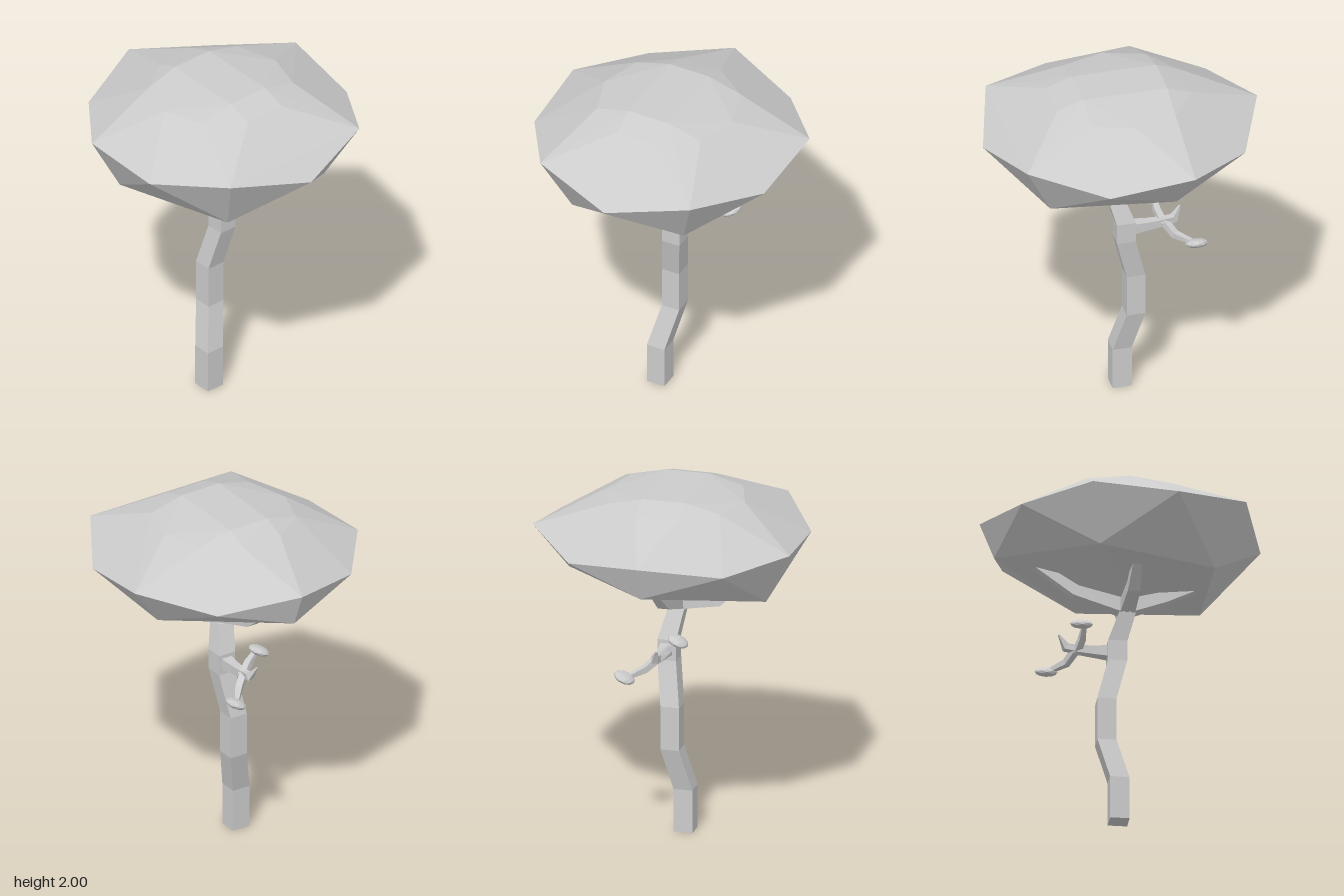
import * as THREE from 'three';
import { ConvexGeometry } from 'three/addons/geometries/ConvexGeometry.js';

const material = new THREE.MeshStandardMaterial({ color: 0xcccccc, flatShading: true });
const V = (p) => new THREE.Vector3(...p);

function add(group, geometry, name) {
  const mesh = new THREE.Mesh(geometry, material);
  mesh.name = name;
  group.add(mesh);
  return mesh;
}

// Square limb through sections [x, y, z, halfWidth]; a fixed tangent keeps sections parallel
function limb(sections, fixedTangent) {
  const pts = sections.map((s) => V(s.slice(0, 3)));
  const rings = sections.map((s, i) => {
    const t = fixedTangent ? fixedTangent.clone()
      : pts[Math.min(i + 1, pts.length - 1)].clone().sub(pts[Math.max(i - 1, 0)]).normalize();
    const side = fixedTangent ? V([1, 0, 0]) : t.clone().cross(V([0, 1, 0])).normalize();
    const up = t.clone().cross(side);
    return [[1, 1], [-1, 1], [-1, -1], [1, -1]].map(([a, b]) =>
      pts[i].clone().addScaledVector(side, a * s[3]).addScaledVector(up, b * s[3]));
  });
  const out = [];
  const quad = (a, b, c, d) => [a, b, c, a, c, d].forEach((p) => out.push(p));
  for (let i = 0; i + 1 < rings.length; i++) {
    for (let k = 0; k < 4; k++) {
      const n = (k + 1) % 4;
      quad(rings[i][k], rings[i][n], rings[i + 1][n], rings[i + 1][k]);
    }
  }
  quad(...rings[0].slice().reverse());
  quad(...rings[rings.length - 1]);
  const geometry = new THREE.BufferGeometry().setFromPoints(out);
  geometry.computeVertexNormals();
  return geometry;
}

export function createModel() {
  const tree = new THREE.Group();
  tree.name = 'tree';

  // Crooked square trunk
  add(tree, limb([
    [-0.018, 0, 0.075, 0.054], [-0.018, 0.25, 0.075, 0.054],
    [-0.082, 0.5, 0.017, 0.053], [-0.082, 0.75, 0.017, 0.053],
    [-0.018, 1.0, -0.018, 0.053], [-0.018, 1.12, -0.018, 0.053],
    [0.033, 1.28, 0.017, 0.046],
  ], V([0, 1, 0])), 'trunk');

  // Four boughs spreading under the crown
  const boughs = {
    rightBough: [[0.03, 1.32, 0.017, 0.042], [-0.25, 1.405, 0.017, 0.032], [-0.47, 1.56, 0.017, 0.022]],
    leftBough: [[0.03, 1.32, 0.017, 0.042], [0.24, 1.39, 0.017, 0.032], [0.42, 1.47, 0.017, 0.022]],
    frontBough: [[0.033, 1.32, 0.0, 0.042], [0.045, 1.35, 0.25, 0.035], [0.05, 1.45, 0.36, 0.025]],
    backBough: [[0.033, 1.32, 0.03, 0.042], [0.033, 1.385, -0.19, 0.032], [0.033, 1.48, -0.35, 0.022]],
  };
  for (const name in boughs) add(tree, limb(boughs[name]), name);

  // Faceted crown: rim of ten points, sloping shoulder, flat top, five low corners
  const rim = [
    [0.775, 1.7, 0.01], [0.64, 1.79, 0.475], [0.24, 1.72, 0.72], [-0.24, 1.75, 0.73], [-0.6, 1.72, 0.45],
    [-0.78, 1.79, 0.01], [-0.6, 1.72, -0.43], [-0.24, 1.79, -0.735], [0.235, 1.72, -0.7], [0.64, 1.79, -0.45],
  ];
  const shoulder = [
    [0.385, 1.95, 0.135], [0.24, 1.95, 0.33], [0, 1.945, 0.41], [-0.23, 1.95, 0.33], [-0.37, 1.95, 0.135],
    [-0.38, 1.95, -0.11], [-0.235, 1.95, -0.31], [0, 1.945, -0.385], [0.24, 1.95, -0.31], [0.385, 1.95, -0.11],
  ];
  const top = [[0.24, 2, 0.135], [-0.24, 2, 0.135], [-0.24, 2, -0.11], [0.24, 2, -0.11]];
  const base = [
    [0.48, 1.435, 0.36], [-0.18, 1.445, 0.58], [-0.7, 1.59, 0.01],
    [-0.18, 1.54, -0.545], [0.48, 1.465, -0.33], [0.1, 1.4, 0.03],
  ];
  add(tree, new ConvexGeometry([...rim, ...shoulder, ...top, ...base].map(V)), 'crown');

  // Side branch with three forks
  const sideBranch = new THREE.Group();
  sideBranch.name = 'sideBranch';
  tree.add(sideBranch);
  add(sideBranch, limb([[-0.03, 1.065, -0.02, 0.036], [-0.14, 1.068, -0.02, 0.026], [-0.25, 1.075, -0.02, 0.02]]), 'sideLimb');
  add(sideBranch, limb([[-0.22, 1.075, -0.02, 0.02], [-0.3, 1.085, -0.02, 0.02], [-0.34, 1.15, 0, 0.004]]), 'bareTwig');
  add(sideBranch, limb([[-0.24, 1.06, -0.03, 0.02], [-0.215, 1.12, 0.03, 0.018], [-0.21, 1.17, 0.08, 0.012]]), 'upperTwig');
  add(sideBranch, limb([[-0.235, 1.085, -0.01, 0.02], [-0.29, 1.02, -0.085, 0.018], [-0.37, 1.0, -0.15, 0.012]]), 'lowerTwig');

  // Small tilted leaf clumps
  const clumps = { upperLeaves: [-0.225, 1.18, 0.09], lowerLeaves: [-0.39, 1.0, -0.17] };
  for (const name in clumps) {
    const leaves = add(sideBranch, new THREE.IcosahedronGeometry(1, 1), name);
    leaves.scale.set(0.064, 0.026, 0.062);
    leaves.rotation.x = 0.42;
    leaves.position.set(...clumps[name]);
  }
  return tree;
}
